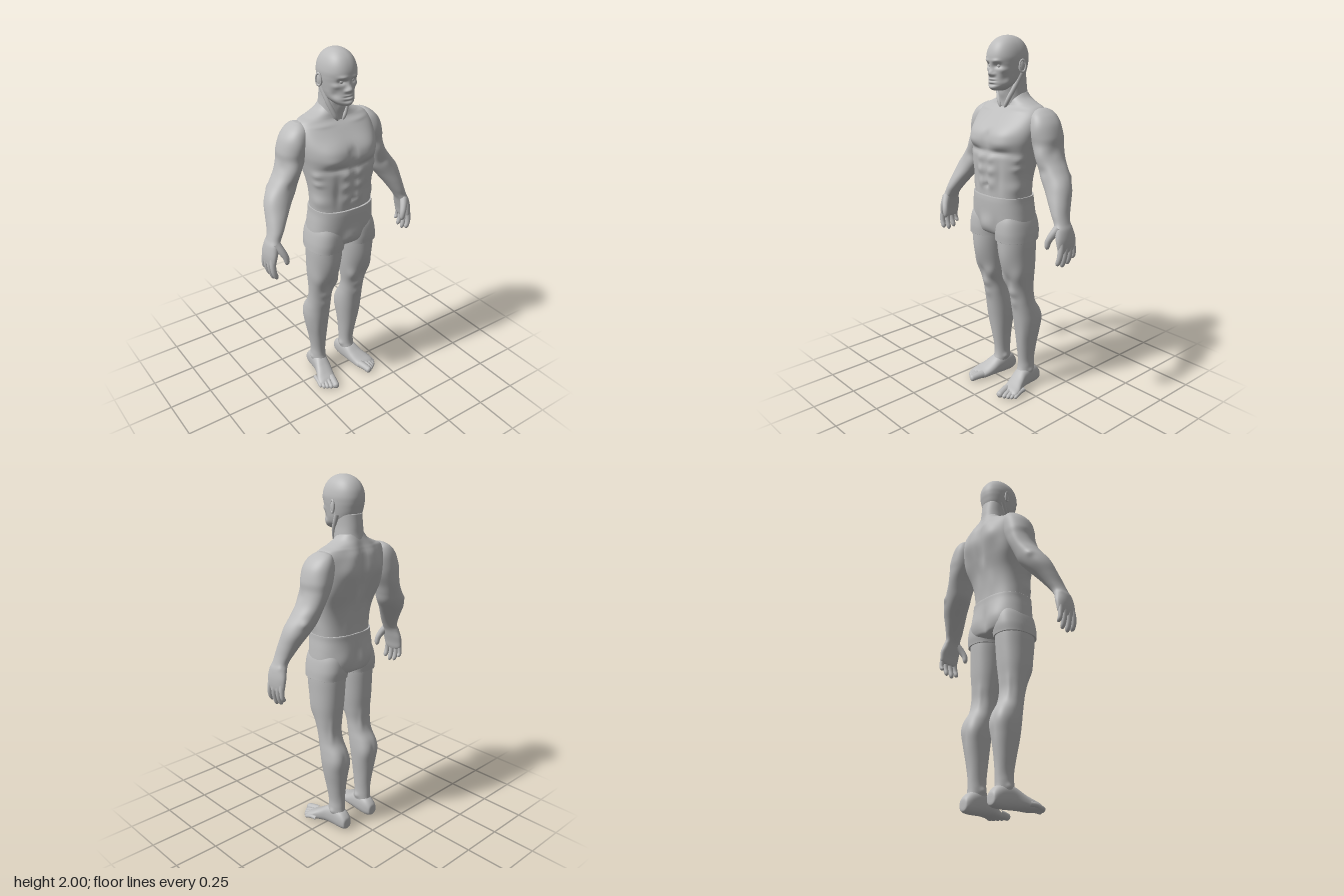
import * as THREE from 'three';
import { mergeVertices } from 'three/addons/utils/BufferGeometryUtils.js';

const clay = new THREE.MeshStandardMaterial({ color: 0xbcbcbc });
clay.name = 'grey clay';

// Smooth curve through a list of number rows
function spline(rows, u) {
  const i = Math.min(Math.floor(u), rows.length - 2), t = u - i;
  const at = k => rows[Math.max(0, Math.min(rows.length - 1, k))];
  const [a, b, c, d] = [at(i - 1), at(i), at(i + 1), at(i + 2)];
  return b.map((v, k) => v + 0.5 * t * (c[k] - a[k] + t * (2 * a[k] - 5 * v + 4 * c[k] - d[k] + t * (3 * (v - c[k]) + d[k] - a[k]))));
}

// Skin over horizontal sections [y, x0, x1, zBack, zFront], lowest first.
// Muscles are soft bumps [x, y, z, radius, height, amount] pushing the skin outward.
function loft(rows, bumps = [], n = 2.3, segs = 56, steps = 7) {
  const pos = [], idx = [], rings = (rows.length - 1) * steps + 1;
  const power = v => Math.sign(v) * Math.abs(v) ** (2 / n);
  for (let i = 0; i < rings; i++) {
    const [y, x0, x1, z0, z1] = spline(rows, i / steps);
    const cx = (x0 + x1) / 2, cz = (z0 + z1) / 2;
    for (let j = 0; j < segs; j++) {
      const t = (j / segs) * Math.PI * 2;
      const dx = power(Math.cos(t)) * (x1 - x0) / 2, dz = power(Math.sin(t)) * (z1 - z0) / 2;
      let push = 0;
      for (const [bx, by, bz, r, h, amount] of bumps) {
        const d = ((cx + dx - bx) ** 2 + (cz + dz - bz) ** 2) / (r * r) + ((y - by) / h) ** 2;
        push += amount * Math.exp(-d);
      }
      const f = 1 + push / (Math.hypot(dx, dz) + 1e-6);
      pos.push(cx + dx * f, y, cz + dz * f);
    }
  }
  for (let i = 0; i < rings - 1; i++) for (let j = 0; j < segs; j++) {
    const p = i * segs + j, q = i * segs + (j + 1) % segs;
    idx.push(p, p + segs, q, p + segs, q + segs, q);
  }
  // end caps
  const first = rows[0], last = rows[rows.length - 1], c = rings * segs, top = (rings - 1) * segs;
  for (const e of [first, last]) pos.push((e[1] + e[2]) / 2, e[0], (e[3] + e[4]) / 2);
  for (let j = 0; j < segs; j++) {
    const k = (j + 1) % segs;
    idx.push(c, j, k, c + 1, top + k, top + j);
  }
  const g = new THREE.BufferGeometry();
  g.setAttribute('position', new THREE.Float32BufferAttribute(pos, 3));
  g.setIndex(idx);
  g.computeVertexNormals();
  return g;
}

// Round-tipped digit or cord along points, radius r0 to r1
function digit(points, r0, r1) {
  const curve = new THREE.CatmullRomCurve3(points.map(p => new THREE.Vector3(...p)));
  const N = 24, M = 14;
  const g = new THREE.TubeGeometry(curve, N, 1, M);
  const p = g.attributes.position, v = new THREE.Vector3();
  for (let i = 0; i <= N; i++) {
    const u = i / N, o = curve.getPointAt(u);
    const tip = Math.sqrt(Math.max(0, 1 - Math.max(0, (u - 0.82) / 0.18) ** 2));
    const r = Math.max(0.0008, (r0 + (r1 - r0) * u) * tip);
    for (let j = 0; j <= M; j++) {
      const k = i * (M + 1) + j;
      v.fromBufferAttribute(p, k).sub(o).multiplyScalar(r).add(o);
      p.setXYZ(k, v.x, v.y, v.z);
    }
  }
  g.deleteAttribute('uv');
  g.deleteAttribute('normal');
  const m = mergeVertices(g, 1e-5);
  m.computeVertexNormals();
  return m;
}

function mirrored(g) {
  const m = g.clone().scale(-1, 1, 1), a = m.index.array;
  for (let i = 0; i < a.length; i += 3) [a[i], a[i + 1]] = [a[i + 1], a[i]];
  m.computeVertexNormals();
  return m;
}

const both = list => list.flatMap(b => (b[0] ? [b, [-b[0], ...b.slice(1)]] : [b]));
const centred = rows => rows.map(([y, w, z0, z1]) => [y, -w, w, z0, z1]);

export function createModel() {
  const model = new THREE.Group();
  model.name = 'standingMan';
  const add = (name, g) => {
    const mesh = new THREE.Mesh(g, clay);
    mesh.name = name;
    model.add(mesh);
  };
  const pair = (name, g) => { add(name + 'Left', g); add(name + 'Right', mirrored(g)); };

  // Torso: chest, abdominals, shoulder blades and spine
  add('torso', loft(centred([
    [1.08, .168, -.1, .142], [1.17, .171, -.094, .144], [1.25, .174, -.098, .146], [1.33, .185, -.112, .15],
    [1.42, .202, -.14, .148], [1.48, .215, -.152, .142], [1.54, .222, -.156, .114], [1.6, .218, -.15, .066],
    [1.637, .195, -.138, .028], [1.655, .15, -.132, .018], [1.68, .095, -.125, .012], [1.71, .066, -.115, .0],
  ]), both([
    [.09, 1.505, .13, .08, .06, .022], [.1, 1.455, .14, .06, .025, .008], [0, 1.5, .14, .016, .09, -.013],
    [.09, 1.412, .14, .07, .016, -.012], [.035, 1.375, .15, .026, .024, .01], [.037, 1.31, .15, .026, .025, .011],
    [.035, 1.24, .15, .027, .03, .009], [0, 1.3, .15, .01, .11, -.008], [0, 1.228, .15, .012, .013, -.014],
    [.09, 1.29, .13, .018, .09, -.008], [.15, 1.225, .07, .05, .035, .009], [.175, 1.38, .08, .03, .018, .008],
    [.17, 1.33, .08, .03, .016, .007], [0, 1.42, -.15, .022, .2, -.022], [.09, 1.53, -.15, .06, .07, .02],
    [.16, 1.42, -.1, .06, .09, .013], [.045, 1.24, -.1, .03, .1, .008], [.05, 1.62, -.14, .04, .06, .012],
    [.11, 1.622, .04, .06, .01, .007],
  ]), 2.5, 96, 9));

  // Neck with its two front cords
  add('neck', loft(centred([
    [1.58, .075, -.13, .03], [1.66, .074, -.128, .03], [1.71, .07, -.12, .036], [1.75, .068, -.116, .045], [1.81, .07, -.108, .05],
  ]), [[0, 1.7, .04, .02, .03, .008]]));
  pair('neckCord', digit([[.072, 1.81, -.035], [.058, 1.73, .005], [.035, 1.67, .025], [.014, 1.628, .03]], .015, .011));

  // Head with brow, sockets, nose, lips and chin
  add('head', loft(centred([
    [1.722, .022, .02, .085], [1.728, .036, -.005, .1], [1.742, .053, -.035, .108], [1.76, .067, -.068, .108],
    [1.785, .076, -.094, .105], [1.81, .081, -.108, .103], [1.84, .086, -.116, .104], [1.865, .089, -.121, .11],
    [1.895, .09, -.122, .113], [1.93, .083, -.114, .104], [1.96, .069, -.096, .086], [1.982, .049, -.07, .06],
    [1.995, .026, -.038, .03], [1.999, .006, -.012, .006],
  ]), both([
    [0, 1.812, .11, .015, .016, .024], [0, 1.835, .11, .011, .025, .013], [.017, 1.806, .105, .01, .009, .008],
    [.033, 1.874, .105, .024, .01, .007], [.034, 1.851, .095, .019, .012, -.015], [.058, 1.828, .075, .022, .014, .006],
    [.06, 1.785, .07, .025, .02, -.007], [0, 1.781, .11, .022, .005, .006], [0, 1.773, .11, .024, .003, -.005],
    [0, 1.765, .11, .02, .005, .006], [0, 1.754, .11, .03, .005, -.004], [0, 1.738, .11, .022, .01, .005],
  ]), 2.25, 96, 9));
  pair('eye', new THREE.SphereGeometry(.013, 20, 14).translate(.033, 1.85, .08));
  pair('ear', new THREE.SphereGeometry(1, 20, 16).scale(.009, .031, .018).rotateY(-.3).translate(.091, 1.845, -.02));
  pair('earRim', new THREE.TorusGeometry(.02, .0045, 10, 28).scale(.85, 1.5, 1).rotateY(Math.PI / 2 - .35).translate(.096, 1.847, -.022));

  // Shorts: hips and two short legs
  add('shortsHips', loft(centred([
    [.945, .1, -.07, .1], [.96, .16, -.1, .13], [.985, .186, -.11, .144], [1.03, .19, -.112, .15],
    [1.09, .185, -.11, .154], [1.14, .179, -.106, .156], [1.165, .178, -.105, .155], [1.172, .178, -.104, .154],
  ]), both([
    [.085, 1.03, -.11, .06, .06, .012], [0, 1.03, -.11, .02, .08, -.014], [0, 1.01, .15, .04, .045, .012],
    [.075, .99, .15, .025, .06, -.006],
  ]), 2.5, 80));
  pair('shortsLeg', loft([
    [.928, .006, .206, -.098, .142], [.934, .006, .206, -.099, .143], [.98, .006, .202, -.106, .146], [1.04, .01, .19, -.1, .14], [1.09, .03, .17, -.08, .12],
  ], [], 2.4));

  // Legs: thigh, knee, calf and ankle
  pair('leg', loft([
    [.05, .066, .143, -.115, .0], [.09, .064, .145, -.112, .004], [.13, .063, .146, -.107, -.006], [.18, .063, .146, -.107, -.006],
    [.27, .057, .16, -.118, .006], [.36, .048, .177, -.13, .018], [.43, .043, .185, -.134, .029], [.49, .043, .184, -.117, .038],
    [.55, .046, .18, -.086, .048], [.61, .045, .181, -.071, .058], [.68, .034, .187, -.074, .08], [.76, .022, .195, -.082, .107],
    [.85, .014, .198, -.088, .127], [.93, .01, .199, -.092, .135], [1.0, .015, .193, -.092, .135],
  ], [
    [.112, .615, .06, .03, .03, .011], [.112, .55, .05, .022, .03, .006], [.06, .69, .07, .032, .045, .012],
    [.165, .73, .07, .035, .06, .008], [.112, .7, .08, .022, .04, -.006], [.11, .82, .12, .04, .09, .006],
    [.068, .43, -.11, .035, .07, .008], [.15, .46, -.11, .035, .065, .008], [.112, .42, -.135, .012, .08, -.005],
    [.08, .62, -.07, .015, .06, .006], [.15, .62, -.07, .015, .06, .006], [.14, .4, .0, .02, .1, .005],
    [.062, .12, -.05, .018, .016, .008], [.15, .105, -.06, .018, .016, .008], [.105, .16, -.1, .02, .06, .005],
  ], 2.15, 64));

  // Feet, skinned from heel to ball: [z, x0, x1, bottom, top]
  const foot = [
    [-.148, .09, .12, .025, .055], [-.142, .074, .135, .01, .08], [-.11, .063, .144, .002, .11], [-.06, .06, .15, .002, .128],
    [-.01, .064, .158, .004, .115], [.035, .07, .175, .004, .084], [.075, .08, .195, .001, .06], [.105, .09, .198, .002, .046], [.122, .105, .185, .01, .034],
  ].map(([z, x0, x1, y0, y1]) => [z, x0, x1, -y1, -y0]);
  pair('foot', loft(foot, [], 2.4).rotateX(Math.PI / 2));
  const toes = [[.108, .126, .18, .021], [.135, .151, .165, .0145], [.153, .17, .152, .0135], [.17, .186, .138, .0125], [.185, .198, .12, .012]];
  toes.forEach(([x0, x1, z, r], i) => pair('toe' + (i + 1),
    digit([[x0, .03, z - .085], [(x0 + x1) / 2, .028, z - .045], [x1, r, z]], r * 1.05, r * .92)));

  // Arms: shoulder, upper arm, forearm and palm in one skin
  const arm = loft([
    [.94, .45, .478, -.035, .055], [.955, .445, .483, -.05, .068], [.985, .438, .486, -.054, .074], [1.02, .427, .485, -.053, .075],
    [1.06, .413, .478, -.042, .068], [1.09, .396, .466, -.036, .058], [1.13, .37, .454, -.05, .056], [1.185, .331, .443, -.074, .048],
    [1.24, .288, .43, -.1, .037], [1.29, .25, .407, -.116, .03], [1.34, .23, .374, -.128, .027], [1.39, .211, .341, -.137, .024],
    [1.45, .18, .32, -.143, .023], [1.5, .165, .317, -.15, .028], [1.56, .155, .3, -.148, .026], [1.6, .16, .273, -.138, .014],
    [1.625, .172, .242, -.12, -.01], [1.638, .19, .216, -.09, -.04],
  ], [
    [.27, 1.41, .02, .045, .05, .01], [.28, 1.45, -.14, .045, .06, .007], [.31, 1.42, -.03, .03, .03, -.006],
    [.4, 1.27, -.01, .04, .05, .006], [.365, 1.3, -.11, .02, .02, .008], [.3, 1.33, .02, .03, .025, -.006],
    [.24, 1.53, .03, .04, .05, .006], [.475, 1.08, -.03, .015, .015, .006],
  ], 2.15, 64);
  const fingers = [[.056, .872, .0165], [.023, .856, .0165], [-.01, .864, .016], [-.038, .895, .014]];
  const hand = fingers.map(([z, tip, r]) =>
    digit([[.463, 1.0, z * .85], [.469, .95, z], [.465, .91, z * 1.08], [.449, tip, z * 1.1]], r * 1.08, r * .8));
  const thumb = digit([[.44, 1.07, .045], [.42, 1.03, .07], [.405, .995, .083], [.399, .952, .084]], .024, .013);
  // the right forearm swings slightly further forward
  const swing = g => {
    const p = g.attributes.position;
    for (let i = 0; i < p.count; i++)
      p.setZ(i, p.getZ(i) + .038 * THREE.MathUtils.smoothstep(1.32 - p.getY(i), 0, .25));
    return g;
  };
  const limb = (name, g) => { add(name + 'Left', g); add(name + 'Right', mirrored(swing(g.clone()))); };
  limb('arm', arm);
  hand.forEach((g, i) => limb('finger' + (i + 1), g));
  limb('thumb', thumb);

  return model;
}
